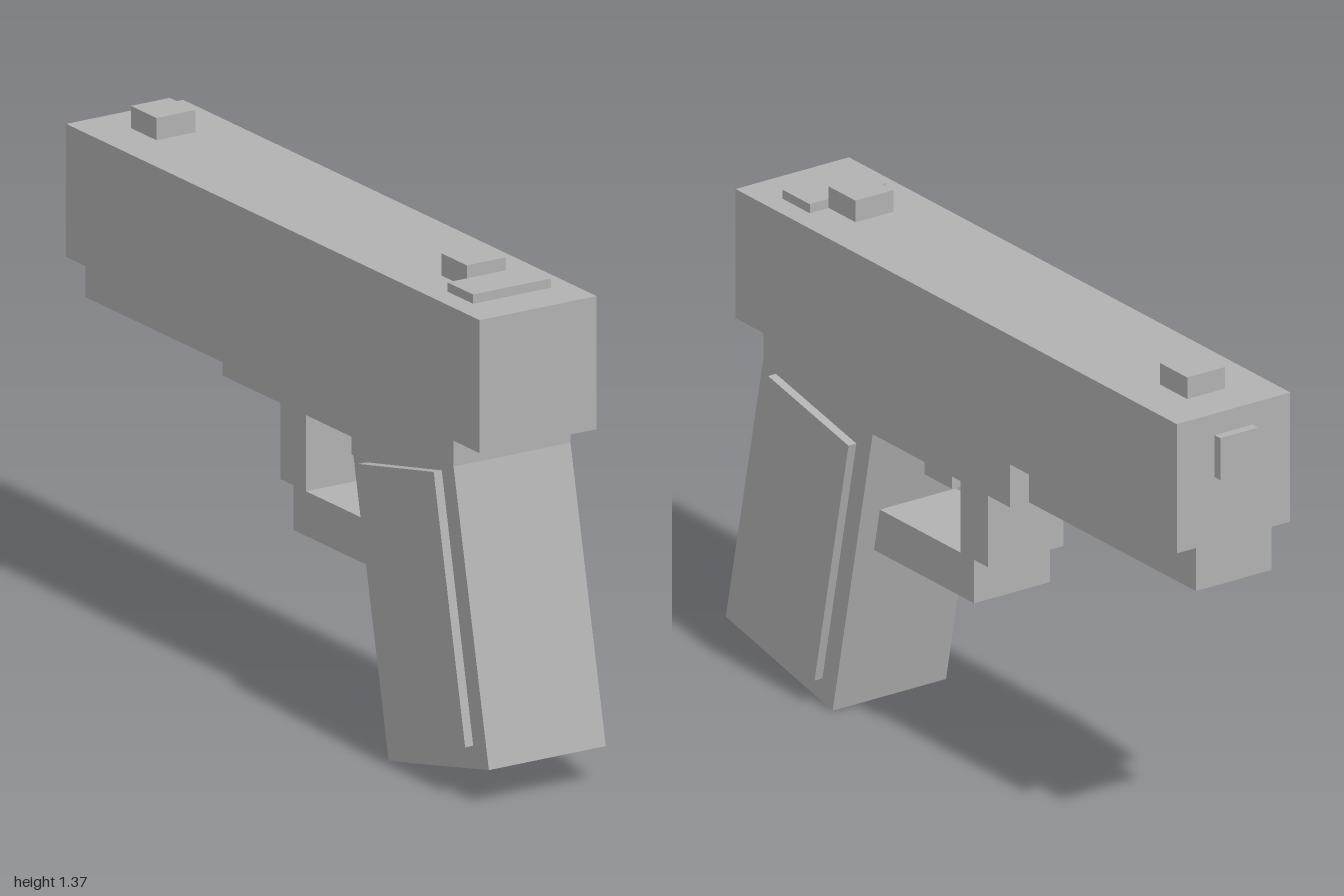
import * as THREE from 'three';

export function createModel() {
  const model = new THREE.Group();
  model.name = 'blockyPistol';
  const grey = new THREE.MeshStandardMaterial({ color: 0xb2b2b2, flatShading: true });
  grey.name = 'plain grey';

  const add = (name, geometry) => {
    const mesh = new THREE.Mesh(geometry, grey);
    mesh.name = name;
    model.add(mesh);
    return mesh;
  };

  // Side outline as [z, y] points, extruded across x and centred
  const slab = (name, points, width, x = 0) => {
    const shape = new THREE.Shape(points.map(([z, y]) => new THREE.Vector2(z, y)));
    const geometry = new THREE.ExtrudeGeometry(shape, { depth: width, bevelEnabled: false });
    geometry.translate(0, 0, -width / 2);
    geometry.rotateY(-Math.PI / 2);
    add(name, geometry).position.x = x;
  };

  // Box given by half width and its y and z ranges
  const block = (name, halfWidth, y0, y1, z0, z1) => {
    const box = add(name, new THREE.BoxGeometry(halfWidth * 2, y1 - y0, z1 - z0));
    box.position.set(0, (y0 + y1) / 2, (z0 + z1) / 2);
  };

  // Slide, frame and slanted grip share one flush outline
  slab('body', [
    [0.957, 1.31], [0.957, 0.95], [0.835, 0.95], [0.835, 0.88], [1, 0.104],
    [0.532, 0], [0.357, 0.83], [-0.245, 0.83], [-0.245, 0.95],
    [-0.975, 0.95], [-0.975, 1.31],
  ], 0.36);

  // Raised grip panels on both sides
  for (const [name, side] of [['leftGripPanel', 1], ['rightGripPanel', -1]]) {
    slab(name, [[0.78, 0.855], [0.927, 0.15], [0.577, 0.075], [0.428, 0.78]], 0.035, side * 0.1875);
  }

  // Narrow rail under the barrel, and the muzzle
  block('underRail', 0.12, 0.83, 0.955, -0.975, -0.24);
  block('muzzle', 0.06, 1.133, 1.25, -1, -0.97);

  // Trigger and guard
  block('trigger', 0.06, 0.71, 0.835, 0.175, 0.295);
  block('guardPost', 0.12, 0.588, 0.835, -0.065, 0.055);
  block('guardBar', 0.12, 0.467, 0.588, -0.005, 0.45);

  // Sights
  block('rearSightPlate', 0.12, 1.305, 1.335, 0.715, 0.835);
  block('rearSight', 0.06, 1.305, 1.37, 0.597, 0.715);
  block('frontSight', 0.06, 1.305, 1.37, -0.855, -0.735);

  return model;
}
